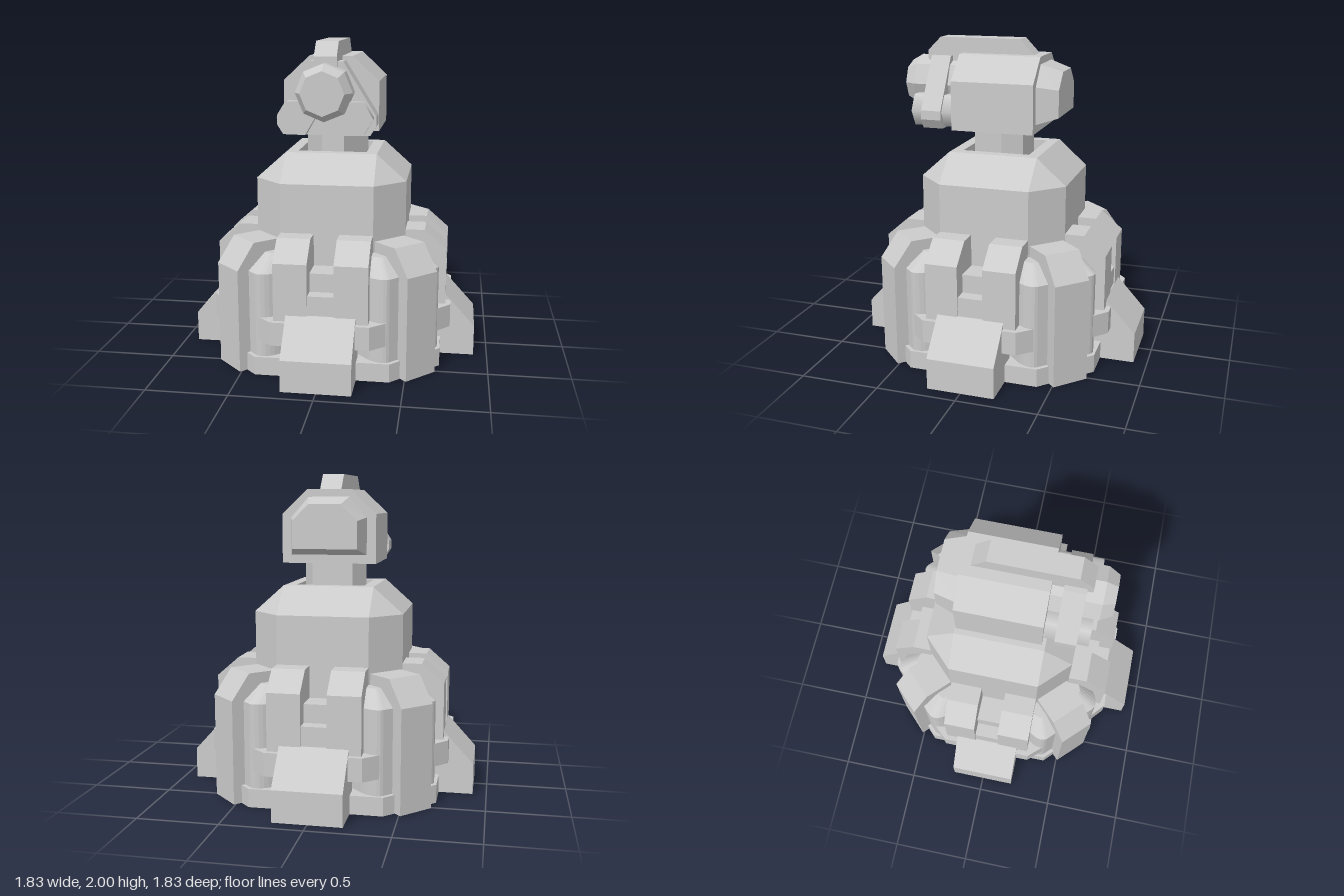
import * as THREE from 'three';

const flat = new THREE.MeshStandardMaterial({ color: 0xcccccc, flatShading: true });
const open = new THREE.MeshStandardMaterial({
  color: 0xcccccc, flatShading: true, side: THREE.DoubleSide,
});
const smooth = new THREE.MeshStandardMaterial({ color: 0xcccccc });

function add(parent, name, geometry, material = flat) {
  const mesh = new THREE.Mesh(geometry, material);
  mesh.name = name;
  parent.add(mesh);
}

// Skin through rings of equal point count, capped at the end and optionally at the start.
function loft(rings, capStart = true) {
  const n = rings[0].length, pos = [];
  const tri = (a, b, c) => pos.push(...a, ...b, ...c);
  for (let i = 0; i < rings.length - 1; i++) {
    for (let j = 0; j < n; j++) {
      const k = (j + 1) % n;
      tri(rings[i][j], rings[i][k], rings[i + 1][k]);
      tri(rings[i][j], rings[i + 1][k], rings[i + 1][j]);
    }
  }
  const first = rings[0], last = rings[rings.length - 1];
  for (let j = 1; j < n - 1; j++) {
    if (capStart) tri(first[0], first[j + 1], first[j]);
    tri(last[0], last[j], last[j + 1]);
  }
  const g = new THREE.BufferGeometry();
  g.setAttribute('position', new THREE.Float32BufferAttribute(pos, 3));
  g.computeVertexNormals();
  return g;
}

// Hollow block, open underneath, from levels of [y, zBack, zFront].
const openBlock = (w, levels) => loft(levels.map(([y, z0, z1]) =>
  [[w, y, z1], [w, y, z0], [-w, y, z0], [-w, y, z1]]), false);

const extrude = (pts, depth) => new THREE.ExtrudeGeometry(
  new THREE.Shape(pts.map(([x, y]) => new THREE.Vector2(x, y))), { depth, bevelEnabled: false });

// Side profile of [z, y] points, given a width centred on x.
const sideExtrude = (pts, width, x = 0) =>
  extrude(pts, width).translate(0, 0, -width / 2).rotateY(-Math.PI / 2).translate(x, 0, 0);

// Plan outline of [x, z] points, raised from y0 to y1.
const planExtrude = (pts, y0, y1) =>
  extrude(pts.map(([x, z]) => [x, -z]), y1 - y0).rotateX(-Math.PI / 2).translate(0, y0, 0);

// Square with half width h and flat half length f, cut at the corners.
const octagon = (h, f, y) =>
  [[h, f], [h, -f], [f, -h], [-f, -h], [-h, -f], [-h, f], [-f, h], [f, h]]
    .map(([x, z]) => [x, y, z]);

// Tank with rounded vertical edges and a sloped shoulder
function tankGeometry() {
  const half = [];
  for (let k = 0; k <= 6; k++) {
    const t = (k / 6) * Math.PI / 2;
    half.push([0.187 + 0.071 * Math.sin(t), 0.64 + 0.12 * Math.cos(t)]);
  }
  half.push([0.258, 0.3]);
  const outline = [...half, ...half.map(([x, z]) => [-x, z]).reverse()];
  const ring = (y, scale, shift) => outline.map(([x, z]) => [x * scale, y, z - shift]);
  return loft([ring(0.1, 1, 0), ring(0.635, 1, 0), ring(0.735, 0.75, 0.12)]);
}

function addBase(model) {
  const base = new THREE.Group();
  base.name = 'base';
  model.add(base);
  const tank = tankGeometry();

  for (let i = 0; i < 4; i++) {
    // Side: floor sector, foot wedge, clamp, paired arches and the block between them
    const side = new THREE.Group();
    side.name = 'sideAssembly';
    side.rotation.y = i * Math.PI / 2;
    base.add(side);
    add(side, 'floorSector', planExtrude(
      [[0, 0.17], [-0.47, 0.64], [-0.41, 0.7], [0.41, 0.7], [0.47, 0.64]], 0, 0.115));
    add(side, 'footWedge', openBlock(0.21,
      [[0, 0.6, 0.915], [0.195, 0.6, 0.915], [0.405, 0.6, 0.725]]), open);
    add(side, 'clamp', planExtrude(
      [[-0.385, 0.56], [-0.385, 0.68], [-0.295, 0.76], [0.295, 0.76], [0.385, 0.68], [0.385, 0.56]],
      0.22, 0.365));
    for (const s of [-1, 1]) {
      add(side, 'arch', sideExtrude(
        [[0.4, 0.22], [0.728, 0.22], [0.728, 0.72], [0.59, 0.84], [0.4, 0.84]], 0.205, s * 0.182));
    }
    add(side, 'centreBlock', sideExtrude(
      [[0.4, 0.1], [0.72, 0.1], [0.72, 0.525], [0.635, 0.525], [0.635, 0.64], [0.4, 0.64]], 0.165));

    // Corner: tank wrapped by a hollow rib
    const corner = new THREE.Group();
    corner.name = 'cornerAssembly';
    corner.rotation.y = (i + 0.5) * Math.PI / 2;
    base.add(corner);
    add(corner, 'rib', openBlock(0.1175,
      [[0, 0.4, 0.838], [0.645, 0.4, 0.838], [0.803, 0.4, 0.72]]), open);
    add(corner, 'tank', tank);
  }
}

function addTower(model) {
  // Octagonal wall closing to a square rim with a sunken well
  add(model, 'tower', loft([
    octagon(0.47, 0.285, 0.1), octagon(0.47, 0.285, 1.145), octagon(0.285, 0.285, 1.31),
    octagon(0.215, 0.215, 1.31), octagon(0.215, 0.215, 1.16),
  ]));
  // Neck: triangle with cut corners
  add(model, 'neck', planExtrude(
    [[-0.07, 0.19], [0.07, 0.19], [0.2, -0.03], [0.13, -0.15], [-0.13, -0.15], [-0.2, -0.03]],
    1.14, 1.47));
}

function addHead(model) {
  const head = new THREE.Group();
  head.name = 'head';
  model.add(head);

  const hood = (w, t, y0, y1, y2) =>
    [[-w, y0], [w, y0], [w, y1], [t, y2], [-t, y2], [-w, y1]];
  add(head, 'headShell', extrude(hood(0.295, 0.135, 1.45, 1.755, 1.905), 0.525).translate(0, 0, -0.26));

  // Tapered rear cap
  const at = (pts, z) => pts.map(([x, y]) => [x, y, z]);
  add(head, 'rearCap', loft([
    at(hood(0.2, 0.1, 1.545, 1.715, 1.815), -0.395),
    at(hood(0.24, 0.13, 1.5, 1.735, 1.862), -0.25),
  ]));

  // Top fin
  add(head, 'topFin', sideExtrude(
    [[-0.2, 1.845], [0.5, 1.845], [0.5, 1.915], [0.415, 2], [-0.11, 2], [-0.2, 1.905]], 0.135));

  // Front bracket holding the three barrels
  add(head, 'barrelBracket', extrude(
    [[-0.262, 1.45], [0.262, 1.45], [0.298, 1.508], [0.298, 1.565], [0.1, 1.885],
      [-0.1, 1.885], [-0.298, 1.565], [-0.298, 1.508]],
    0.13).translate(0, 0, 0.335));

  // Main eight-sided barrel with a chamfered nose
  const ring = (r, z) => Array.from({ length: 8 }, (_, k) => {
    const a = k * Math.PI / 4;
    return [r * Math.cos(a), 1.71 + r * Math.sin(a), z];
  });
  add(head, 'mainBarrel', loft([ring(0.17, 0.2), ring(0.17, 0.565), ring(0.13, 0.635)]));

  // Six-sided lower barrels
  for (const s of [-1, 1]) {
    add(head, 'lowerBarrel', new THREE.CylinderGeometry(0.113, 0.113, 0.335, 6)
      .rotateY(Math.PI / 6).rotateX(Math.PI / 2).translate(s * 0.172, 1.557, 0.3675), smooth);
  }
}

export function createModel() {
  const model = new THREE.Group();
  model.name = 'turret';
  addBase(model);
  addTower(model);
  addHead(model);
  return model;
}
